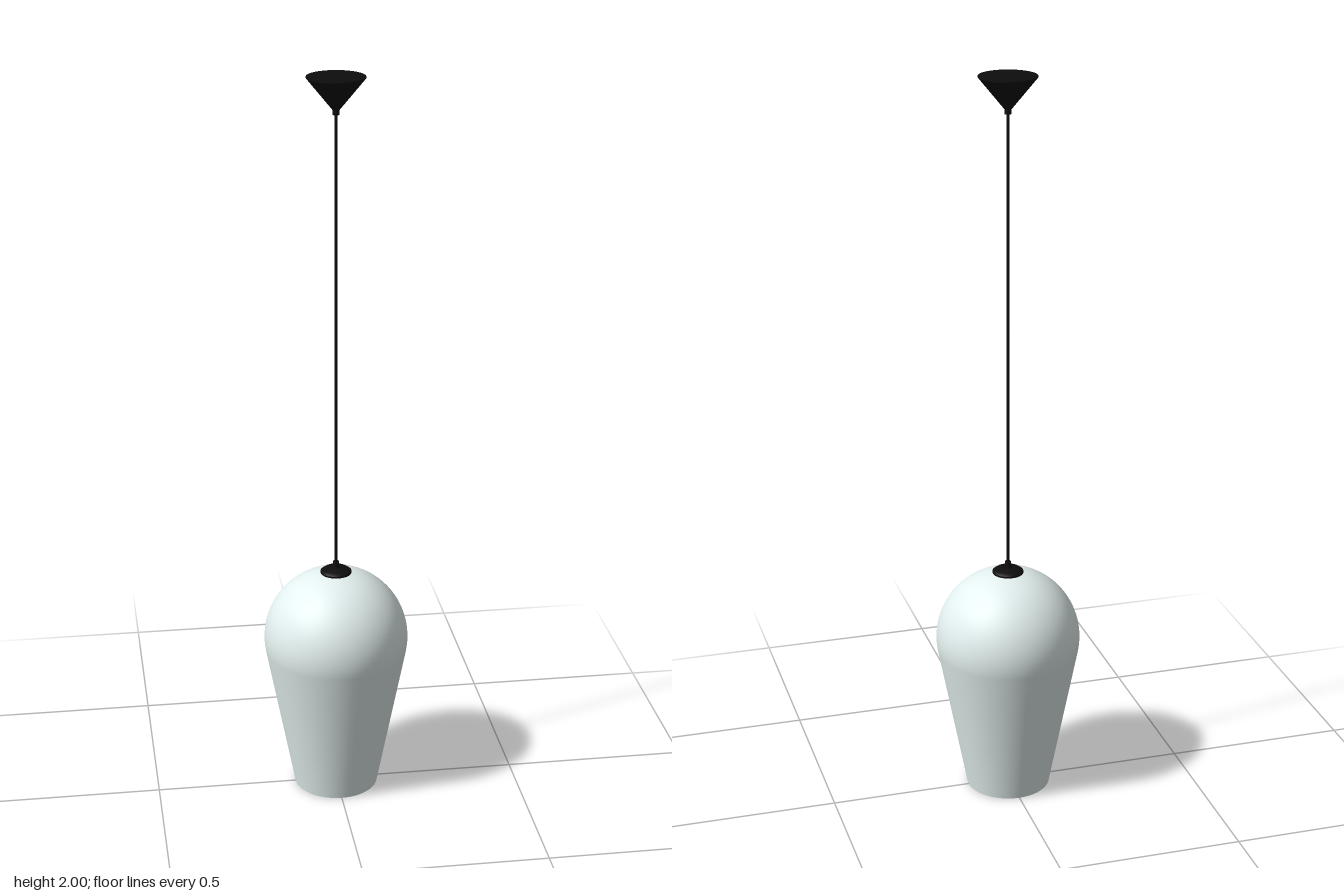
import * as THREE from 'three';
import { mergeGeometries } from 'three/addons/utils/BufferGeometryUtils.js';

const SEGMENTS = 64;

// Each strip is a smooth profile of [radius, y]; edges between strips stay sharp.
function lathe(name, strips, material) {
  const parts = strips.map((strip) =>
    new THREE.LatheGeometry(strip.map(([r, y]) => new THREE.Vector2(r, y)), SEGMENTS));
  const mesh = new THREE.Mesh(mergeGeometries(parts), material);
  mesh.name = name;
  return mesh;
}

// Tapered wall that runs tangentially into a round dome, from bottom to top.
function shadeProfile(bottomRadius, domeRadius, centreY) {
  const points = [];
  const start = -0.187;
  const endR = domeRadius * Math.cos(start);
  const endY = centreY + domeRadius * Math.sin(start);
  for (let i = 0; i < 6; i++) {
    const t = i / 6;
    points.push([bottomRadius + (endR - bottomRadius) * t, endY * t]);
  }
  const steps = 28;
  for (let i = 0; i <= steps; i++) {
    const a = start + (Math.PI / 2 - start) * (i / steps);
    points.push([i === steps ? 0 : domeRadius * Math.cos(a), centreY + domeRadius * Math.sin(a)]);
  }
  return points;
}

export function createModel() {
  const group = new THREE.Group();
  group.name = 'pendantLamp';
  const glass = new THREE.MeshStandardMaterial({ color: 0xe3f0ef });
  const black = new THREE.MeshStandardMaterial({ color: 0x0d0d0d });

  // Hollow shade, open at the bottom: outside, inside and rim
  const outer = shadeProfile(0.115, 0.197, 0.446);
  const inner = shadeProfile(0.108, 0.19, 0.446).reverse();
  group.add(lathe('shade', [outer, inner, [[0.108, 0], [0.115, 0]]], glass));

  // Cap on the dome with a small cord grip
  group.add(lathe('shadeCap', [
    [[0, 0.632], [0.042, 0.632]],
    [[0.042, 0.632], [0.042, 0.643]],
    [[0.042, 0.643], [0.034, 0.649], [0.01, 0.653]],
    [[0.01, 0.653], [0.008, 0.671]],
    [[0.008, 0.671], [0, 0.671]],
  ], black));

  // Cord
  const cord = new THREE.Mesh(new THREE.CylinderGeometry(0.0035, 0.0035, 1.25, 16), black);
  cord.name = 'cord';
  cord.position.y = 1.29;
  group.add(cord);

  // Conical ceiling canopy with a short collar at its tip
  group.add(lathe('ceilingCanopy', [
    [[0, 1.903], [0.009, 1.903]],
    [[0.009, 1.903], [0.009, 1.915]],
    [[0.009, 1.915], [0.076, 1.997]],
    [[0.076, 1.997], [0.076, 2]],
    [[0.076, 2], [0, 2]],
  ], black));

  return group;
}
